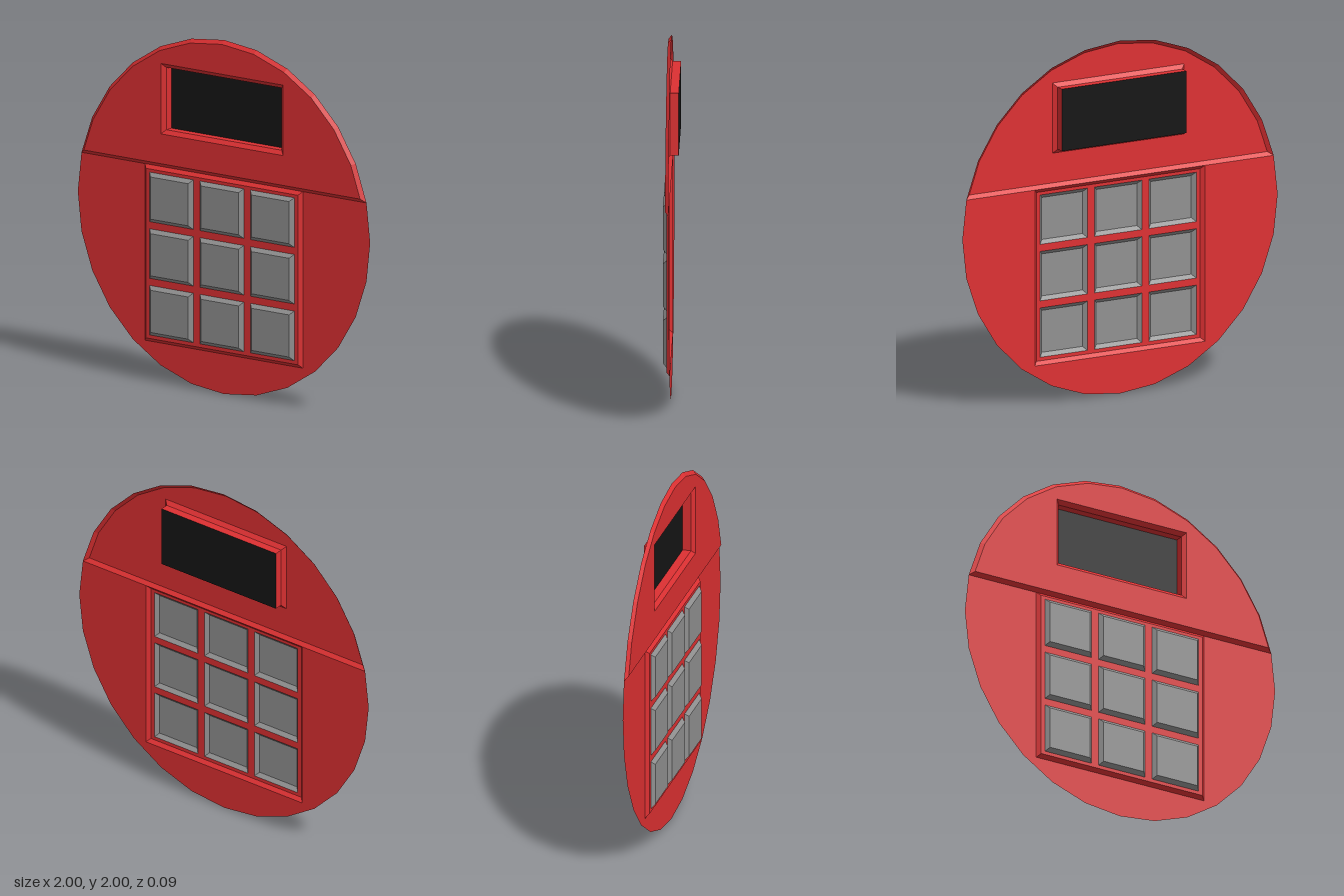
import * as THREE from 'three';

// Depth levels of the pressed sheet
const BACK = -0.043, BASE = 0.004, RAISED = 0.023, KEY = 0.043;

const paint = (color) => new THREE.MeshStandardMaterial({ color, flatShading: true, side: THREE.DoubleSide });

// Counter-clockwise rectangle
const rect = (x0, y0, x1, y1) => [[x0, y0], [x1, y0], [x1, y1], [x0, y1]].map(([x, y]) => new THREE.Vector2(x, y));

// Moves every edge of a convex counter-clockwise outline inwards by d
function inset(points, d) {
  const n = points.length;
  const normal = (a, b) => new THREE.Vector2(a.y - b.y, b.x - a.x).normalize();
  return points.map((p, i) => {
    const n1 = normal(points[(i + n - 1) % n], p);
    const n2 = normal(p, points[(i + 1) % n]);
    return n1.clone().add(n2).multiplyScalar(d / (1 + n1.dot(n2))).add(p);
  });
}

export function createModel() {
  const group = new THREE.Group();
  const red = paint(0xdd3032), grey = paint(0x909090), black = paint(0x151515);

  const add = (name, geometry, material, parent = group) => {
    const mesh = new THREE.Mesh(geometry, material);
    mesh.name = name;
    parent.add(mesh);
    return mesh;
  };

  // Flat sheet bounded by an outline, with optional openings
  const face = (name, outline, z, material, holes = [], parent = group) => {
    const shape = new THREE.Shape(outline);
    shape.holes = holes.map((h) => new THREE.Path(h));
    add(name, new THREE.ShapeGeometry(shape), material, parent).position.z = z;
  };

  // Band of quads joining two outlines at different depths
  const band = (name, a, za, b, zb, material, parent = group) => {
    const pos = [];
    a.forEach((p, i) => {
      const j = (i + 1) % a.length;
      const A = [p.x, p.y, za], B = [a[j].x, a[j].y, za];
      const C = [b[j].x, b[j].y, zb], D = [b[i].x, b[i].y, zb];
      pos.push(...A, ...B, ...C, ...A, ...C, ...D);
    });
    const geometry = new THREE.BufferGeometry();
    geometry.setAttribute('position', new THREE.Float32BufferAttribute(pos, 3));
    geometry.computeVertexNormals();
    add(name, geometry, material, parent);
  };

  // Disc rim: 28 corners, counted counter-clockwise from the top
  const rim = (k) => {
    const t = (k / 28) * Math.PI * 2;
    return new THREE.Vector2(-Math.sin(t), 1 + Math.cos(t));
  };
  const arc = (from, to) => Array.from({ length: to - from + 1 }, (_, i) => rim(from + i));

  // Lower body, notched around the keypad
  const seam = rim(6).y;
  const padX = 0.54, padY = 0.225;
  const notch = [[padX, seam], [padX, padY], [-padX, padY], [-padX, seam]].map(([x, y]) => new THREE.Vector2(x, y));
  face('lowerBody', [...arc(6, 22), ...notch], BASE, red);

  // Raised upper cap with a bevelled edge and a display opening
  const capOuter = arc(-6, 6), capInner = inset(capOuter, 0.021);
  const frameOuter = rect(-0.418, 1.412, 0.418, 1.81), frameInner = inset(frameOuter, 0.023);
  band('capBevel', capOuter, BASE, capInner, RAISED, red);
  face('capFace', capInner, RAISED, red, [frameOuter]);

  // Sunken display
  band('displayFrame', frameOuter, RAISED, frameInner, BASE, red);
  band('displayWalls', frameInner, BASE, frameInner, BACK, red);
  face('displayScreen', frameInner, BACK, black);

  // Keypad: three by three bevelled keys set in a raised plate
  const padOuter = rect(-padX, padY, padX, seam), padInner = inset(padOuter, 0.02);
  const keyOutlines = [];
  for (const y of [1.045, 0.725, 0.405]) {
    for (const x of [-0.345, 0, 0.345]) {
      const outline = rect(x - 0.15, y - 0.14, x + 0.15, y + 0.14);
      const top = inset(outline, 0.021);
      const key = new THREE.Group();
      key.name = 'key';
      band('keyBevel', outline, RAISED, top, KEY, grey, key);
      face('keyTop', top, KEY, grey, [], key);
      group.add(key);
      keyOutlines.push(outline);
    }
  }
  band('keypadBevel', padOuter, BASE, padInner, RAISED, red);
  face('keypadPlate', padInner, RAISED, red, keyOutlines);

  return group;
}
